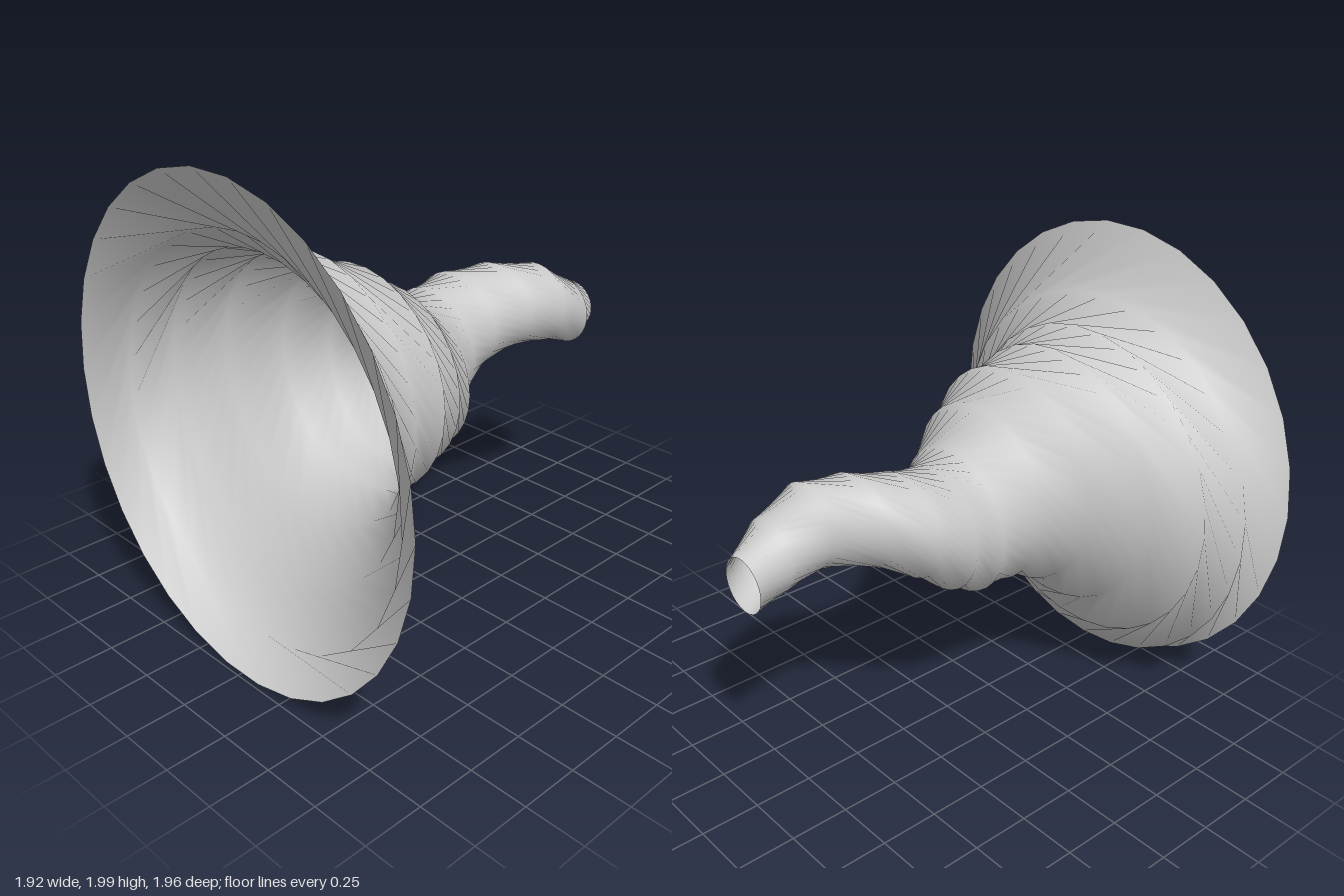
import * as THREE from 'three';

const SIDES = 30;
const TWIST = -Math.PI / 6; // each ring turns clockwise going back
const HALF_DEPTH = 0.98;

// Rings from the wide mouth (front) to the narrow end (back):
// centre x, centre y, radius x, radius y
const RINGS = [
  [0.00, 1.00, 0.96, 1.00],
  [-0.05, 0.91, 0.83, 0.83],
  [-0.115, 0.96, 0.69, 0.69],
  [-0.09, 1.035, 0.56, 0.56],
  [-0.01, 1.055, 0.465, 0.465],
  [0.00, 1.02, 0.375, 0.385],
  [-0.035, 0.96, 0.31, 0.31],
  [-0.11, 1.01, 0.255, 0.26],
  [-0.115, 1.085, 0.23, 0.215],
  [-0.04, 1.135, 0.21, 0.185],
  [0.05, 1.13, 0.165, 0.175],
  [0.065, 1.055, 0.147, 0.15],
  [-0.005, 1.02, 0.115, 0.11],
];

// Skin that joins the twisted rings, open at both ends
function twistedLoft(rings) {
  const positions = [];
  const indices = [];
  const last = rings.length - 1;
  rings.forEach(([cx, cy, rx, ry], k) => {
    const z = HALF_DEPTH * (1 - (2 * k) / last);
    for (let i = 0; i < SIDES; i++) {
      const a = (i / SIDES) * Math.PI * 2 + k * TWIST;
      positions.push(cx + rx * Math.cos(a), cy + ry * Math.sin(a), z);
    }
  });
  for (let k = 0; k < last; k++) {
    for (let i = 0; i < SIDES; i++) {
      const j = (i + 1) % SIDES;
      const a = k * SIDES + i, b = k * SIDES + j;
      const c = a + SIDES, d = b + SIDES;
      indices.push(a, c, b, b, c, d);
    }
  }
  const geometry = new THREE.BufferGeometry();
  geometry.setAttribute('position', new THREE.Float32BufferAttribute(positions, 3));
  geometry.setIndex(indices);
  geometry.computeVertexNormals();
  return geometry;
}

export function createModel() {
  const group = new THREE.Group();
  group.name = 'twistedHorn';
  const material = new THREE.MeshStandardMaterial({ color: 0xcccccc, side: THREE.DoubleSide });
  const horn = new THREE.Mesh(twistedLoft(RINGS), material);
  horn.name = 'hornShell';
  group.add(horn);
  return group;
}
